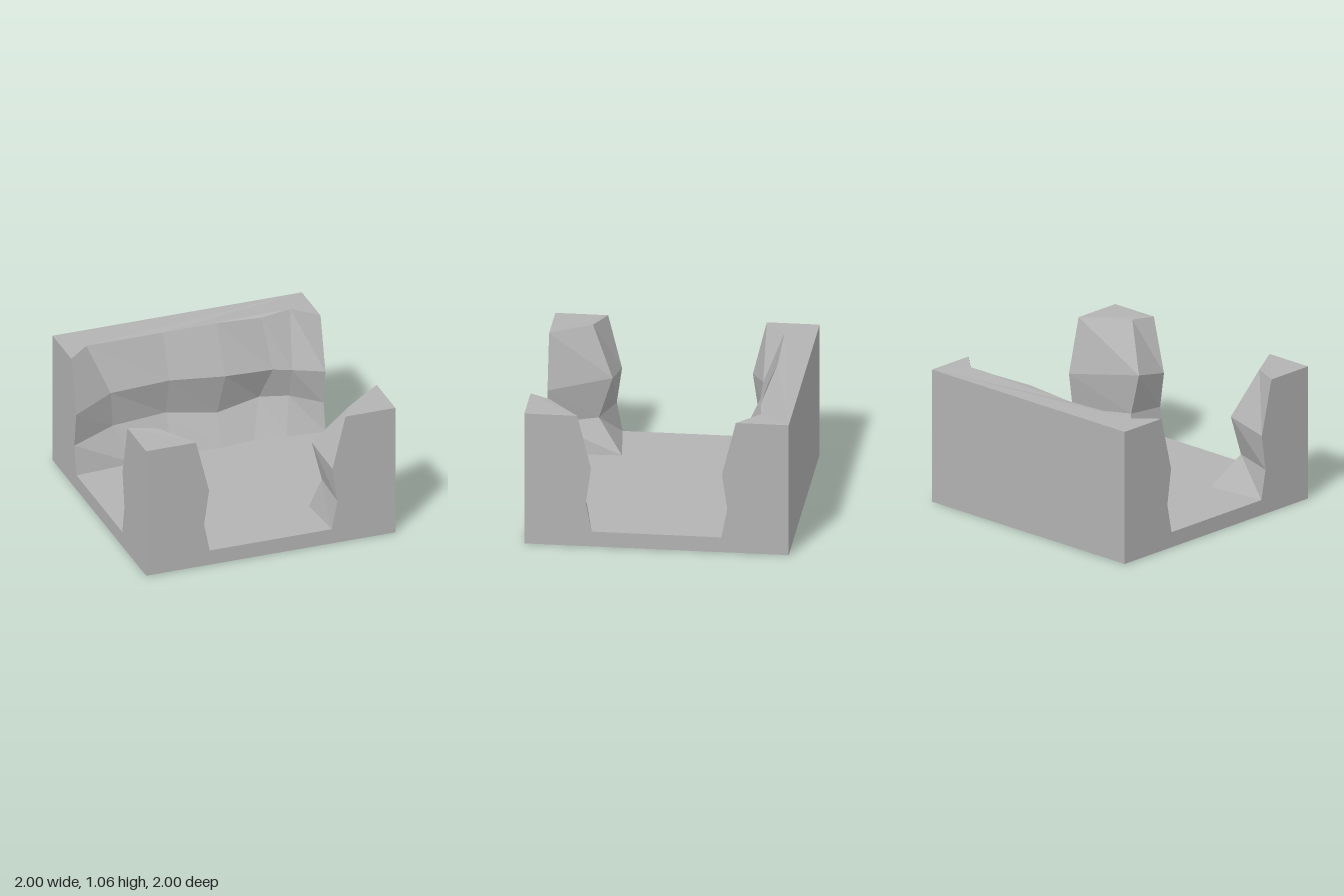
import * as THREE from 'three';

const stone = new THREE.MeshStandardMaterial({ color: 0xb3b3b3, flatShading: true });
stone.name = 'grey stone';

const FLOOR = 0.12;
const LEVELS = [FLOOR, 0.35, 0.63, 1.055]; // foot, recess, lip, top

// Straight column of points at an outer corner
const corner = (x, z) => LEVELS.map((y) => [x, y, z]);

// Where a wall meets the tile edge every tile shares the same profile
const PROFILE = [0.49, 0.535, 0.495, 0.6];
const endOnX = (x, side) => LEVELS.map((y, i) => [x, y, side * PROFILE[i]]);
const endOnZ = (z, side) => LEVELS.map((y, i) => [side * PROFILE[i], y, z]);

// Rock wall: columns run counter-clockwise seen from above, joined in a ring and capped
function rockWall(name, columns) {
  const pos = [];
  const tri = (...pts) => pts.forEach((p) => pos.push(...p));
  columns.forEach((a, i) => {
    const b = columns[(i + 1) % columns.length];
    for (let k = 0; k < 3; k++) {
      tri(a[k], b[k], a[k + 1]);
      tri(b[k], b[k + 1], a[k + 1]);
    }
  });
  const top = columns.map((c) => c[3]);
  const outline = top.map((p) => new THREE.Vector2(p[0], -p[2]));
  for (const f of THREE.ShapeUtils.triangulateShape(outline, [])) tri(...f.map((i) => top[i]));
  const geo = new THREE.BufferGeometry();
  geo.setAttribute('position', new THREE.Float32BufferAttribute(pos, 3));
  geo.computeVertexNormals();
  const mesh = new THREE.Mesh(geo, stone);
  mesh.name = name;
  return mesh;
}

export function createModel() {
  const group = new THREE.Group();
  group.name = 'caveJunctionTile';

  // Floor slab
  const slab = new THREE.Mesh(new THREE.BoxGeometry(2, FLOOR, 2), stone);
  slab.position.y = FLOOR / 2;
  slab.name = 'floorSlab';
  group.add(slab);

  // Long wall across the back
  group.add(rockWall('backWall', [
    endOnX(-1, -1),
    [[-0.52, FLOOR, -0.525], [-0.65, 0.4, -0.65], [-0.68, 0.7, -0.61], [-0.82, 1.055, -0.757]],
    [[-0.2, FLOOR, -0.55], [-0.2, 0.4, -0.71], [-0.2, 0.705, -0.638], [-0.2, 1.045, -0.775]],
    [[0.17, FLOOR, -0.525], [0.2, 0.34, -0.68], [0.23, 0.69, -0.58], [0.22, 1.06, -0.75]],
    [[0.45, FLOOR, -0.555], [0.55, 0.39, -0.72], [0.62, 0.66, -0.61], [0.58, 1.045, -0.74]],
    [[0.7, FLOOR, -0.525], [0.76, 0.4, -0.64], [0.76, 0.65, -0.57], [0.82, 1.06, -0.77]],
    endOnX(1, -1),
    corner(1, -1),
    corner(-1, -1),
  ]));

  // Rock pillar on the front corner at -x
  group.add(rockWall('rightFrontPillar', [
    endOnZ(1, -1),
    [[-0.52, FLOOR, 0.44], [-0.655, 0.365, 0.63], [-0.65, 0.69, 0.525], [-0.79, 1.06, 0.69]],
    endOnX(-1, 1),
    corner(-1, 1),
  ]));

  // Rock pillar on the front corner at +x
  group.add(rockWall('leftFrontPillar', [
    endOnX(1, 1),
    [[0.46, FLOOR, 0.59], [0.53, 0.38, 0.68], [0.45, 0.705, 0.68], [0.68, 1.05, 0.85]],
    endOnZ(1, 1),
    corner(1, 1),
  ]));

  return group;
}
